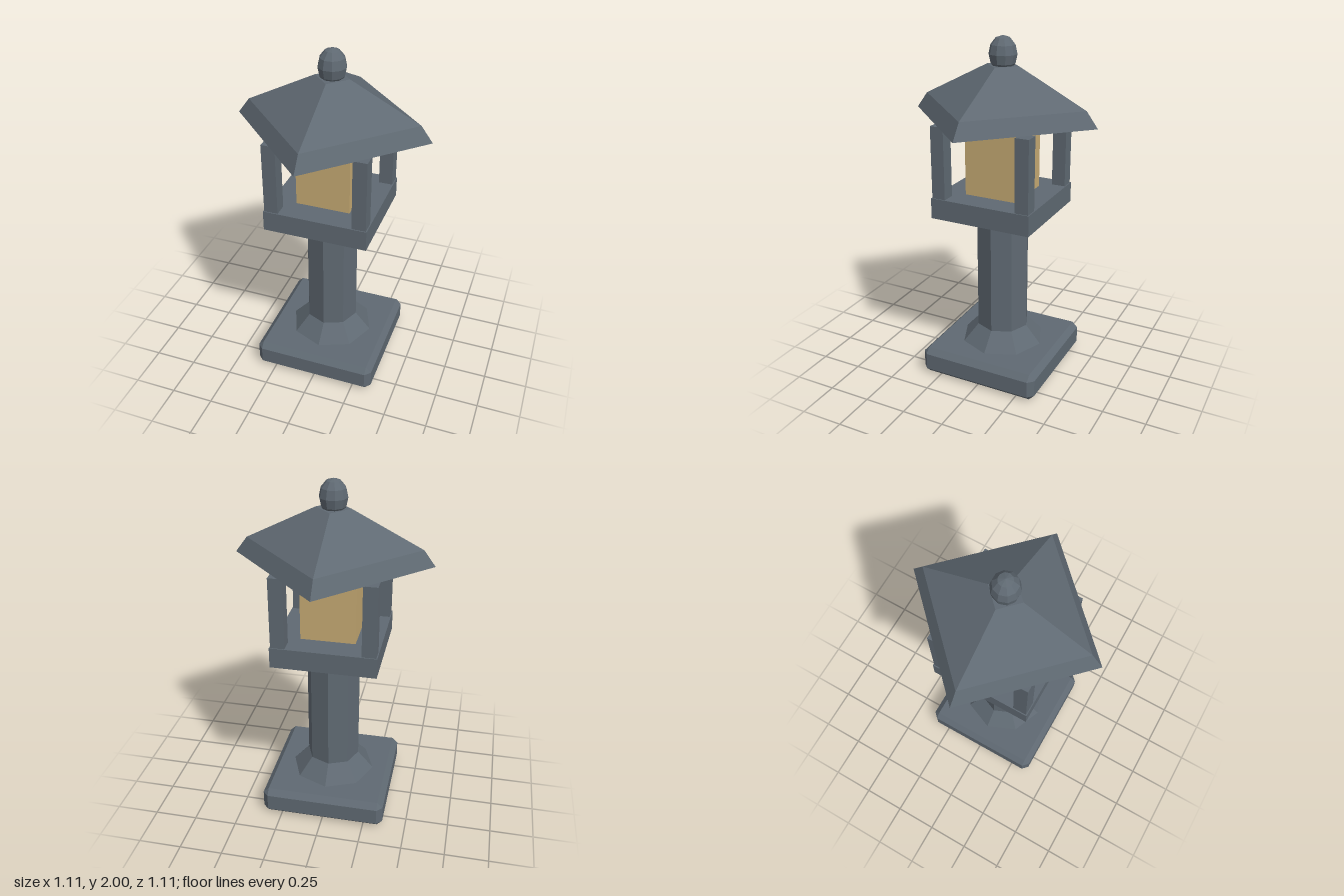
import * as THREE from 'three';
import { ConvexGeometry } from 'three/addons/geometries/ConvexGeometry.js';

const metal = new THREE.MeshStandardMaterial({ color: 0x5f6972 });
metal.name = 'slate metal';
const glow = new THREE.MeshStandardMaterial({ color: 0xc6aa73 });
glow.name = 'warm lamp';

// Splits shared vertices so every facet is shaded flat
function faceted(geometry) {
  const flat = geometry.index ? geometry.toNonIndexed() : geometry;
  flat.computeVertexNormals();
  return flat;
}

// Box with all edges cut at 45 degrees
function chamferedBox(hx, hy, hz, c) {
  const points = [];
  for (const sx of [-1, 1]) for (const sy of [-1, 1]) for (const sz of [-1, 1]) {
    points.push(
      new THREE.Vector3(sx * hx, sy * (hy - c), sz * (hz - c)),
      new THREE.Vector3(sx * (hx - c), sy * hy, sz * (hz - c)),
      new THREE.Vector3(sx * (hx - c), sy * (hy - c), sz * hz)
    );
  }
  return new ConvexGeometry(points);
}

export function createModel() {
  const model = new THREE.Group();
  model.name = 'gardenLantern';

  function add(name, geometry, material, x, y, z) {
    const mesh = new THREE.Mesh(geometry, material);
    mesh.name = name;
    mesh.position.set(x, y, z);
    model.add(mesh);
    return mesh;
  }

  // Foot and octagonal column
  add('base', chamferedBox(0.365, 0.0825, 0.365, 0.033), metal, 0, 0.0825, 0);
  add('columnFlare', faceted(new THREE.CylinderGeometry(0.157, 0.25, 0.105, 8)), metal, 0, 0.2175, 0);
  add('column', faceted(new THREE.CylinderGeometry(0.157, 0.157, 0.73, 8)), metal, 0, 0.635, 0);

  // Lamp housing: platform, light block and four corner posts
  add('platform', new THREE.BoxGeometry(0.6, 0.12, 0.6), metal, 0, 1.06, 0);
  add('lamp', new THREE.BoxGeometry(0.314, 0.385, 0.314), glow, 0, 1.3125, 0);
  for (const sx of [-1, 1]) for (const sz of [-1, 1]) {
    add('cornerPost', new THREE.BoxGeometry(0.08, 0.415, 0.08), metal, sx * 0.254, 1.3275, sz * 0.254);
  }

  // Four-sided roof with its corners on the axes
  const roofProfile = [[0, 1.55], [0.556, 1.55], [0.49, 1.64], [0.098, 1.84], [0, 1.84]]
    .map(([r, y]) => new THREE.Vector2(r, y));
  add('roof', faceted(new THREE.LatheGeometry(roofProfile, 4)), metal, 0, 0, 0);

  // Elongated finial, sunk into the roof top
  const finial = new THREE.SphereGeometry(0.079, 10, 6);
  finial.scale(1, 0.1 / 0.079, 1);
  add('finial', faceted(finial), metal, 0, 1.9, 0);

  return model;
}
